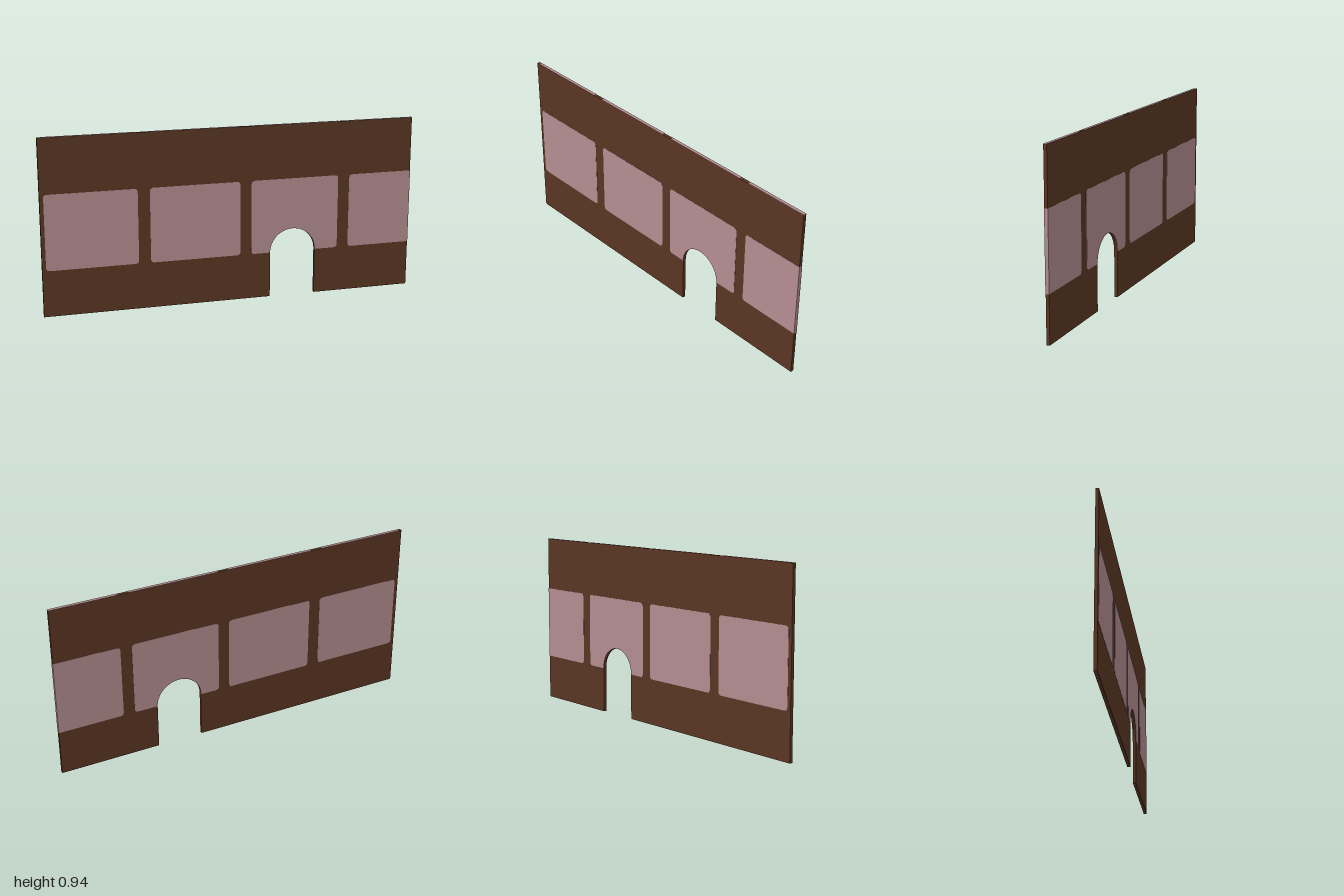
import * as THREE from 'three';

const HEIGHT = 0.935, DEPTH = 0.017;
const DOOR_X = 0.335, DOOR_R = 0.125, SPRING_Y = 0.245;
const PANEL_BOTTOM = 0.245, PANEL_TOP = 0.645, CORNER = 0.02;

// Extrudes a flat shape, centred on z = 0
function slab(shape, depth, material, name) {
  const geometry = new THREE.ExtrudeGeometry(shape, { depth, bevelEnabled: false, curveSegments: 24 });
  geometry.translate(0, 0, -depth / 2);
  const mesh = new THREE.Mesh(geometry, material);
  mesh.name = name;
  return mesh;
}

// Panel outline; the bottom edge may step round the door arch
function panelShape(x0, x1, rightCorner, hasArch) {
  const s = new THREE.Shape(), r = CORNER, q = rightCorner;
  const y0 = PANEL_BOTTOM, y1 = PANEL_TOP;
  s.moveTo(x0 + r, y0);
  if (hasArch) {
    const gap = DOOR_R + 0.001;
    s.lineTo(DOOR_X - gap, y0);
    s.absarc(DOOR_X, SPRING_Y, gap, Math.PI, 0, true);
  }
  s.lineTo(x1 - q, y0);
  if (q) s.quadraticCurveTo(x1, y0, x1, y0 + q);
  s.lineTo(x1, y1 - q);
  if (q) s.quadraticCurveTo(x1, y1, x1 - q, y1);
  s.lineTo(x0 + r, y1);
  s.quadraticCurveTo(x0, y1, x0, y1 - r);
  s.lineTo(x0, y0 + r);
  s.quadraticCurveTo(x0, y0, x0 + r, y0);
  return s;
}

export function createModel() {
  const model = new THREE.Group();
  model.name = 'wallWithDoorway';
  const brown = new THREE.MeshStandardMaterial({ color: 0x5a3623 });
  brown.name = 'dark brown';
  const pink = new THREE.MeshStandardMaterial({ color: 0xb48d90 });
  pink.name = 'dusty pink';

  // Wall with an arched doorway
  const wall = new THREE.Shape();
  wall.moveTo(-1, 0);
  wall.lineTo(DOOR_X - DOOR_R, 0);
  wall.lineTo(DOOR_X - DOOR_R, SPRING_Y);
  wall.absarc(DOOR_X, SPRING_Y, DOOR_R, Math.PI, 0, true);
  wall.lineTo(DOOR_X + DOOR_R, 0);
  wall.lineTo(1, 0);
  wall.lineTo(1, HEIGHT);
  wall.lineTo(-1, HEIGHT);
  model.add(slab(wall, DEPTH, brown, 'wall'));

  // Panels show on both faces; the last one runs off the end of the wall
  const spans = [[-0.98, -0.5], [-0.437, 0.045], [0.105, 0.587], [0.649, 1.001]];
  spans.forEach(([x0, x1], i) => {
    const shape = panelShape(x0, x1, i === 3 ? 0 : CORNER, i === 2);
    model.add(slab(shape, DEPTH + 0.002, pink, 'panel' + (i + 1)));

    // Matching strip along the top edge
    const strip = new THREE.Mesh(new THREE.BoxGeometry(x1 - x0, 0.002, DEPTH), pink);
    strip.position.set((x0 + x1) / 2, HEIGHT, 0);
    strip.name = 'topStrip' + (i + 1);
    model.add(strip);
  });
  return model;
}
